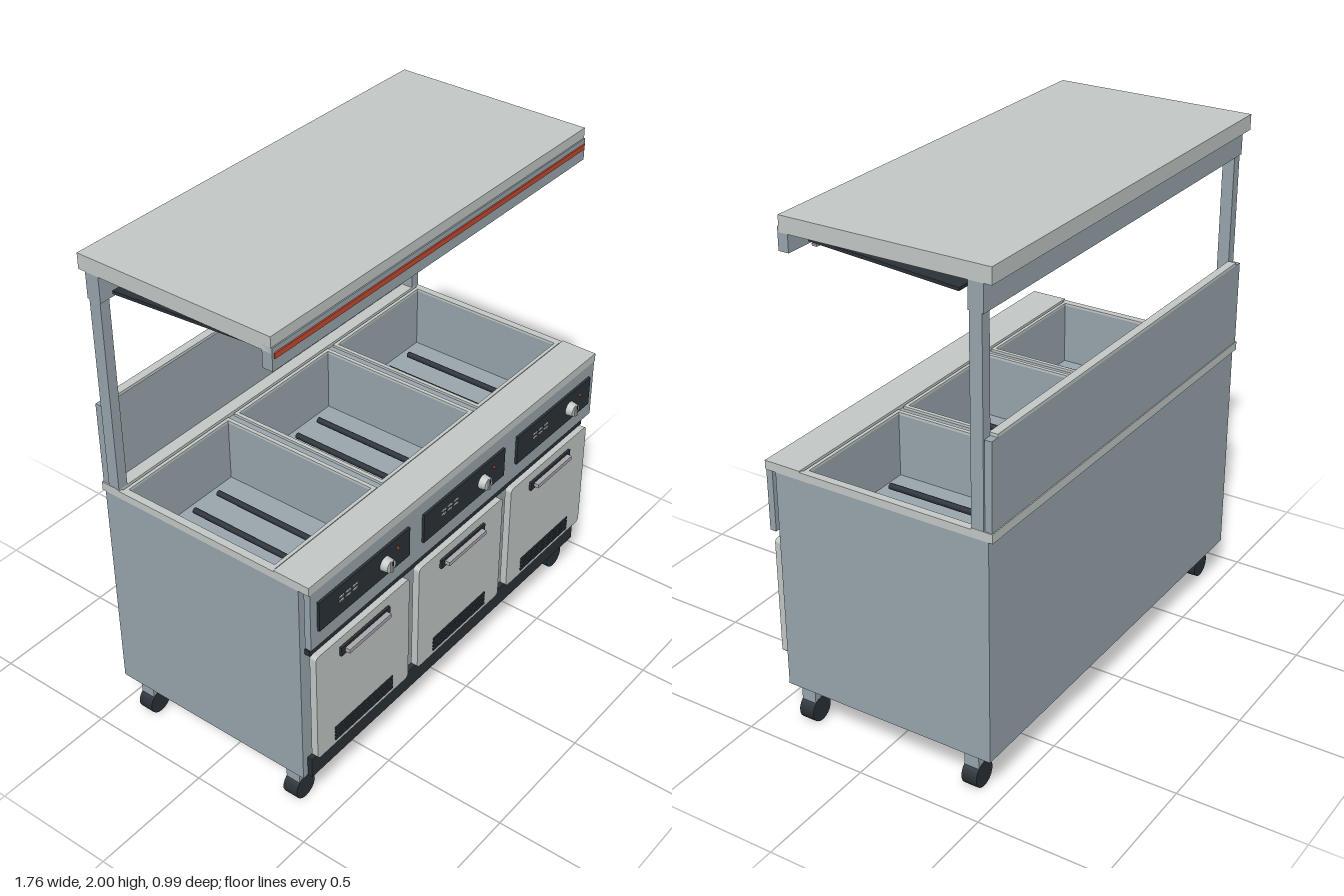
import * as THREE from 'three';

const mat = (name, color) => {
  const m = new THREE.MeshStandardMaterial({ color });
  m.name = name;
  return m;
};

export function createModel() {
  const steel = mat('blue grey steel', 0x9aa7ae);
  const light = mat('light steel', 0xc4cac8);
  const dark = mat('dark trim', 0x2b3238);
  const red = mat('red accent', 0xc84a32);
  const silver = mat('handle silver', 0xa9a9b0);

  const root = new THREE.Group();
  root.name = 'heatedServingCounter';

  const add = (parent, name, geo, material, x = 0, y = 0, z = 0) => {
    const m = new THREE.Mesh(geo, material);
    m.name = name;
    m.position.set(x, y, z);
    parent.add(m);
    return m;
  };
  // Box given by its minimum and maximum on each axis
  const box = (parent, name, material, x0, x1, y0, y1, z0, z1) =>
    add(parent, name, new THREE.BoxGeometry(x1 - x0, y1 - y0, z1 - z0), material,
      (x0 + x1) / 2, (y0 + y1) / 2, (z0 + z1) / 2);
  const rectPath = (target, x0, x1, y0, y1) => {
    target.moveTo(x0, y0);
    target.lineTo(x1, y0);
    target.lineTo(x1, y1);
    target.lineTo(x0, y1);
    target.closePath();
    return target;
  };
  const group = (name, x = 0, y = 0, z = 0) => {
    const g = new THREE.Group();
    g.name = name;
    g.position.set(x, y, z);
    root.add(g);
    return g;
  };

  const bays = [-0.588, 0, 0.588];
  const wellX = 0.262, wellFront = 0.28, wellBack = -0.385;

  // Cabinet shell, open at the top
  const cabinet = group('cabinet');
  box(cabinet, 'cabinetFloor', steel, -0.88, 0.88, 0.16, 0.18, -0.472, 0.405);
  box(cabinet, 'cabinetFront', steel, -0.88, 0.88, 0.18, 1.04, 0.385, 0.405);
  box(cabinet, 'cabinetBack', steel, -0.88, 0.88, 0.18, 1.04, -0.472, -0.452);
  for (const s of [-1, 1]) {
    box(cabinet, 'cabinetSide', steel, s * 0.87 - 0.01, s * 0.87 + 0.01, 0.18, 1.04, -0.452, 0.385);
  }
  box(cabinet, 'kickPlate', dark, -0.855, 0.855, 0.16, 0.247, 0.405, 0.425);
  box(cabinet, 'doorSeal', dark, -0.855, 0.855, 0.742, 0.766, 0.405, 0.427);

  // Deck with three openings, edged by the worktop strips
  const deckShape = rectPath(new THREE.Shape(), -0.865, 0.865, -0.30, 0.405);
  for (const x of bays) {
    deckShape.holes.push(rectPath(new THREE.Path(), x - wellX, x + wellX, -wellFront, -wellBack));
  }
  const deckGeo = new THREE.ExtrudeGeometry(deckShape, { depth: 0.02, bevelEnabled: false });
  deckGeo.rotateX(-Math.PI / 2);
  add(root, 'deck', deckGeo, steel, 0, 1.04, 0);
  box(root, 'frontWorktop', light, -0.88, 0.88, 1.04, 1.075, 0.30, 0.45);
  box(root, 'rearWorktop', light, -0.88, 0.88, 1.04, 1.075, -0.487, -0.405);
  for (const s of [-1, 1]) {
    box(root, 'sideRim', light, s * 0.8725 - 0.0075, s * 0.8725 + 0.0075, 1.04, 1.07, -0.405, 0.30);
  }

  // Wells with raised rims and heating rods
  const rimShape = rectPath(new THREE.Shape(), -wellX - 0.016, wellX + 0.016, -wellFront - 0.014, -wellBack + 0.014);
  rimShape.holes.push(rectPath(new THREE.Path(), -wellX, wellX, -wellFront, -wellBack));
  const rimGeo = new THREE.ExtrudeGeometry(rimShape, { depth: 0.01, bevelEnabled: false });
  rimGeo.rotateX(-Math.PI / 2);
  const rodGeo = new THREE.CylinderGeometry(0.012, 0.012, 0.56, 10).rotateX(Math.PI / 2);
  for (const x of bays) {
    const well = group('well', x);
    add(well, 'wellRim', rimGeo, light, 0, 1.06, 0);
    box(well, 'wellFloor', steel, -wellX, wellX, 0.80, 0.81, wellBack, wellFront);
    box(well, 'wellFront', steel, -wellX, wellX, 0.80, 1.06, wellFront, wellFront + 0.008);
    box(well, 'wellBack', steel, -wellX, wellX, 0.80, 1.06, wellBack - 0.008, wellBack);
    for (const s of [-1, 1]) {
      const c = s * (wellX + 0.004);
      box(well, 'wellSide', steel, c - 0.004, c + 0.004, 0.80, 1.06, wellBack, wellFront);
    }
    for (const rx of [-0.13, 0, 0.13]) add(well, 'heatingRod', rodGeo, dark, rx, 0.84, -0.05);
  }

  // Control fascia with a panel for each bay
  box(root, 'controlFascia', steel, -0.875, 0.875, 0.795, 1.04, 0.424, 0.45);
  const knobGeo = new THREE.CylinderGeometry(0.025, 0.029, 0.028, 20).rotateX(Math.PI / 2);
  const ledGeo = new THREE.CylinderGeometry(0.006, 0.006, 0.006, 12).rotateX(Math.PI / 2);
  for (const x of bays) {
    const panel = group('controlPanel', x);
    box(panel, 'controlPlate', dark, -0.252, 0.252, 0.864, 0.988, 0.45, 0.46);
    for (const dx of [-0.135, -0.098, -0.061]) {
      for (const y of [0.925, 0.942]) {
        box(panel, 'displayDash', light, dx - 0.013, dx + 0.013, y - 0.003, y + 0.003, 0.46, 0.464);
      }
    }
    add(panel, 'knob', knobGeo, light, 0.108, 0.922, 0.474);
    box(panel, 'knobGrip', silver, 0.102, 0.114, 0.90, 0.948, 0.488, 0.494);
    box(panel, 'knobMark', dark, 0.106, 0.110, 0.93, 0.948, 0.494, 0.496);
    add(panel, 'indicator', ledGeo, red, 0.18, 0.945, 0.463);
  }

  // Rounded doors with handles and vent slots
  const w = 0.265, h = 0.2395, r = 0.016;
  const doorShape = new THREE.Shape();
  doorShape.absarc(w - r, h - r, r, 0, Math.PI / 2);
  doorShape.absarc(-w + r, h - r, r, Math.PI / 2, Math.PI);
  doorShape.absarc(-w + r, -h + r, r, Math.PI, Math.PI * 1.5);
  doorShape.absarc(w - r, -h + r, r, Math.PI * 1.5, Math.PI * 2);
  const doorGeo = new THREE.ExtrudeGeometry(doorShape, { depth: 0.028, bevelEnabled: false, curveSegments: 5 });
  for (const x of bays) {
    const door = group('door', x);
    add(door, 'doorPanel', doorGeo, light, 0, 0.505, 0.424);
    box(door, 'handleRecess', dark, -0.138, 0.138, 0.669, 0.706, 0.452, 0.462);
    box(door, 'handleBar', silver, -0.118, 0.118, 0.679, 0.696, 0.462, 0.482);
    for (let i = 0; i < 4; i++) {
      const y = 0.29 + i * 0.017;
      box(door, 'ventSlot', dark, -0.168, 0.168, y - 0.005, y + 0.005, 0.452, 0.456);
    }
  }

  // Rear panel, posts and cross bar
  box(root, 'backPanel', steel, -0.875, 0.875, 1.075, 1.408, -0.483, -0.455);
  box(root, 'backPanelCap', light, -0.84, 0.84, 1.408, 1.42, -0.483, -0.45);
  for (const s of [-1, 1]) {
    box(root, 'post', steel, s * 0.858 - 0.021, s * 0.858 + 0.021, 1.075, 1.94, -0.453, -0.405);
  }
  box(root, 'crossBar', steel, -0.88, 0.88, 1.84, 1.94, -0.46, -0.402);

  // Canopy with front fascia and red stripe
  box(root, 'canopy', light, -0.88, 0.88, 1.94, 2.0, -0.49, 0.324);
  box(root, 'canopyFascia', steel, -0.88, 0.88, 1.875, 1.96, 0.288, 0.329);
  box(root, 'canopyStripe', red, -0.872, 0.872, 1.92, 1.94, 0.329, 0.334);
  box(root, 'lampRail', silver, -0.80, 0.80, 1.882, 1.89, 0.236, 0.256);

  // Sloping heater panels beneath the canopy
  for (const x of bays) {
    const p = add(root, 'heaterPanel', new THREE.BoxGeometry(0.55, 0.012, 0.58), dark, x, 1.912, -0.07);
    p.rotation.x = -Math.atan2(0.04, 0.57);
  }

  // Casters
  const wheelGeo = new THREE.CylinderGeometry(0.052, 0.052, 0.062, 18).rotateX(Math.PI / 2);
  const stemGeo = new THREE.CylinderGeometry(0.012, 0.012, 0.03, 10);
  for (const x of [-0.824, 0.824]) {
    for (const z of [0.336, -0.38]) {
      const caster = group('caster', x, 0, z);
      add(caster, 'wheel', wheelGeo, dark, 0, 0.052, 0);
      box(caster, 'casterFork', steel, -0.033, 0.033, 0.07, 0.145, -0.03, 0.03);
      add(caster, 'casterStem', stemGeo, steel, 0, 0.15, 0);
    }
  }
  return root;
}
